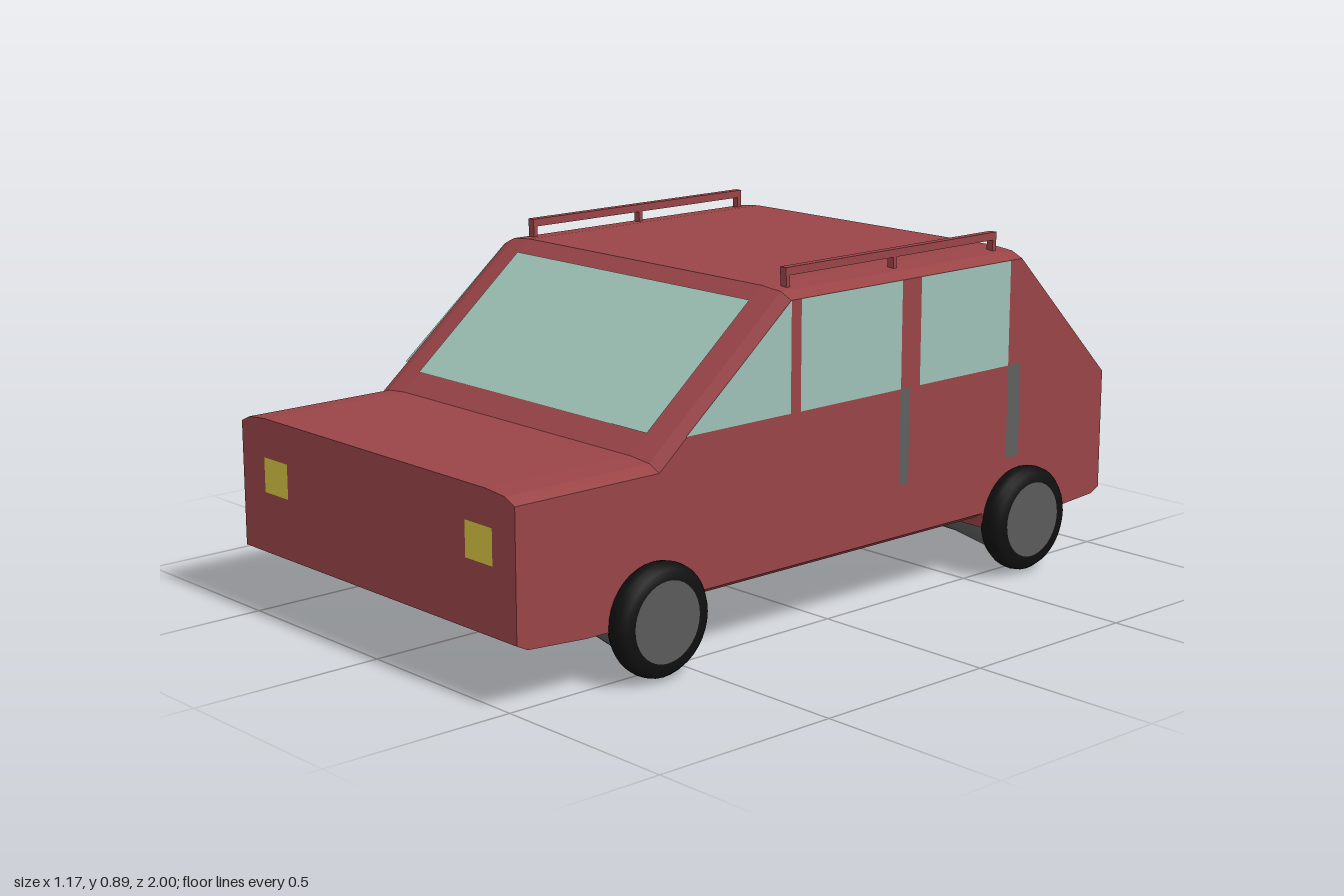
import * as THREE from 'three';

const mat = (color, flatShading = false) =>
  new THREE.MeshStandardMaterial({ color, flatShading, side: THREE.DoubleSide });
const paint = mat(0x994447, true), glass = mat(0x9cc0b5), lamp = mat(0xd8c544);
const trim = mat(0x5f5f5f), rubber = mat(0x101010), steel = mat(0x5a5a5a);

const RIGHT = -0.543, LEFT = 0.53; // x of the body sides

function add(parent, name, geometry, material) {
  const mesh = new THREE.Mesh(geometry, material);
  mesh.name = name;
  parent.add(mesh);
  return mesh;
}

// Flat polygon as a fan, corners counter-clockwise seen from outside
function panel(points) {
  const pos = [];
  for (let i = 1; i < points.length - 1; i++) pos.push(...points[0], ...points[i], ...points[i + 1]);
  const g = new THREE.BufferGeometry();
  g.setAttribute('position', new THREE.Float32BufferAttribute(pos, 3));
  g.computeVertexNormals();
  return g;
}

// Side outline (z, y): the roof edge drops and the sill rises near the sides
function outline(drop, sill) {
  return [
    [1, 0.165], [1, 0.505 - drop], [0.58, 0.505 - drop], [0.165, 0.85 - drop],
    [-0.66, 0.85 - drop], [-1, 0.505 - drop], [-1, 0.165], [-0.97, 0.15], [-0.8, 0.138],
    [-0.54, 0.136], [-0.53, 0.137 + sill], [0.49, 0.137 + sill], [0.5, 0.136],
    [0.8, 0.138], [0.97, 0.15],
  ];
}

// Body lofted across the width, closed by a cap on each side
function bodyGeometry() {
  const steps = [[0, 0.022, 0.04], [0.035, 0.006, 0.02], [0.1, 0, 0]];
  const layers = [
    ...steps.map(([inset, d, s]) => ({ x: RIGHT + inset, o: outline(d, s) })),
    ...steps.slice().reverse().map(([inset, d, s]) => ({ x: LEFT - inset, o: outline(d, s) })),
  ];
  const n = layers[0].o.length, pos = [], index = [];
  for (const { x, o } of layers) for (const [z, y] of o) pos.push(x, y, z);
  for (let k = 0; k < layers.length - 1; k++) {
    for (let i = 0; i < n; i++) {
      const j = (i + 1) % n, a = k * n + i, b = k * n + j, c = b + n, d = a + n;
      index.push(a, d, c, a, c, b);
    }
  }
  const flat = layers[0].o.map(([z, y]) => new THREE.Vector2(-z, y));
  const last = (layers.length - 1) * n;
  for (const t of THREE.ShapeUtils.triangulateShape(flat, [])) {
    const ccw = THREE.ShapeUtils.area(t.map((i) => flat[i])) > 0;
    const [a, b, c] = ccw ? t : [t[0], t[2], t[1]];
    index.push(last + a, last + b, last + c, a, c, b);
  }
  const g = new THREE.BufferGeometry();
  g.setAttribute('position', new THREE.Float32BufferAttribute(pos, 3));
  g.setIndex(index);
  g.computeVertexNormals();
  return g;
}

// Rounded tyre with a plain disc hub; local y points outward
function wheel(radius) {
  const g = new THREE.Group();
  const k = radius / 0.14;
  const profile = [[0.09, 0], [0.112, 0], [0.127, 0.01], [0.137, 0.028], [0.14, 0.045],
    [0.138, 0.06], [0.127, 0.074], [0.1, 0.076]];
  add(g, 'tyre', new THREE.LatheGeometry(profile.map(([r, a]) => new THREE.Vector2(r * k, a)), 36), rubber);
  add(g, 'hub', new THREE.CylinderGeometry(0.1 * k, 0.1 * k, 0.074, 36), steel).position.y = 0.039;
  return g;
}

export function createModel() {
  const car = new THREE.Group();
  car.name = 'car';
  add(car, 'body', bodyGeometry(), paint);

  // Windscreen and rear window
  const gx0 = -0.445, gx1 = 0.43;
  add(car, 'windscreen', panel([[gx0, 0.55, 0.53], [gx1, 0.55, 0.53], [gx1, 0.82, 0.205], [gx0, 0.82, 0.205]]), glass);
  add(car, 'rearWindow', panel([[gx1, 0.539, -0.97], [gx0, 0.539, -0.97], [gx0, 0.813, -0.7], [gx1, 0.813, -0.7]]), glass);

  // Side windows and trim strips, corners as (z, y)
  const rect = (z0, z1, y0, y1) => [[z0, y0], [z1, y0], [z1, y1], [z0, y1]];
  const sideParts = [
    ['frontSideWindow', [[0.5, 0.555], [0.165, 0.555], [0.165, 0.828]], glass],
    ['middleSideWindow', rect(0.132, -0.215, 0.555, 0.828), glass],
    ['rearSideWindow', rect(-0.283, -0.615, 0.555, 0.828), glass],
    ['doorStrip', rect(-0.214, -0.247, 0.31, 0.555), trim],
    ['rearStrip', rect(-0.615, -0.663, 0.31, 0.555), trim],
  ];
  for (const side of [1, -1]) {
    const prefix = side > 0 ? 'left ' : 'right ';
    const x = side > 0 ? LEFT + 0.002 : RIGHT - 0.002;
    for (const [name, corners, material] of sideParts) {
      const points = corners.map(([z, y]) => [x, y, z]);
      if (side < 0) points.reverse();
      add(car, prefix + name, panel(points), material);
    }

    // Headlight
    const lx = side > 0 ? 0.4 : -0.399, ly = side > 0 ? 0.374 : 0.363;
    add(car, prefix + 'headlight', new THREE.PlaneGeometry(0.098, 0.088), lamp).position.set(lx, ly, 1.001);

    // Roof rail on three posts
    const rail = new THREE.Group();
    rail.name = prefix + 'roofRail';
    rail.position.x = side > 0 ? 0.464 : -0.483;
    add(rail, 'railBar', new THREE.BoxGeometry(0.021, 0.02, 0.75), paint).position.set(0, 0.884, -0.247);
    for (const z of [0.121, -0.247, -0.615]) {
      add(rail, 'railPost', new THREE.BoxGeometry(0.02, 0.038, 0.012), paint).position.set(0, 0.861, z);
    }
    car.add(rail);

    // Wheels
    for (const [name, z] of [['frontWheel', 0.605], ['rearWheel', -0.665]]) {
      const w = wheel(side > 0 ? 0.138 : 0.144);
      w.name = prefix + name;
      w.rotation.z = -side * Math.PI / 2;
      w.position.set(side * 0.51, side > 0 ? 0.147 : 0.146, z);
      car.add(w);
    }
  }

  // Axles flaring toward the wheels
  const flare = [[0.108, -0.52], [0.107, -0.51], [0.08, -0.35], [0.07, 0], [0.08, 0.35], [0.104, 0.505], [0.106, 0.52]];
  const axleGeometry = new THREE.LatheGeometry(flare.map(([r, a]) => new THREE.Vector2(r, a)), 32);
  for (const [name, z] of [['frontAxle', 0.605], ['rearAxle', -0.665]]) {
    const axle = add(car, name, axleGeometry, steel);
    axle.rotation.z = -Math.PI / 2;
    axle.position.set(0, 0.147, z);
  }
  return car;
}
